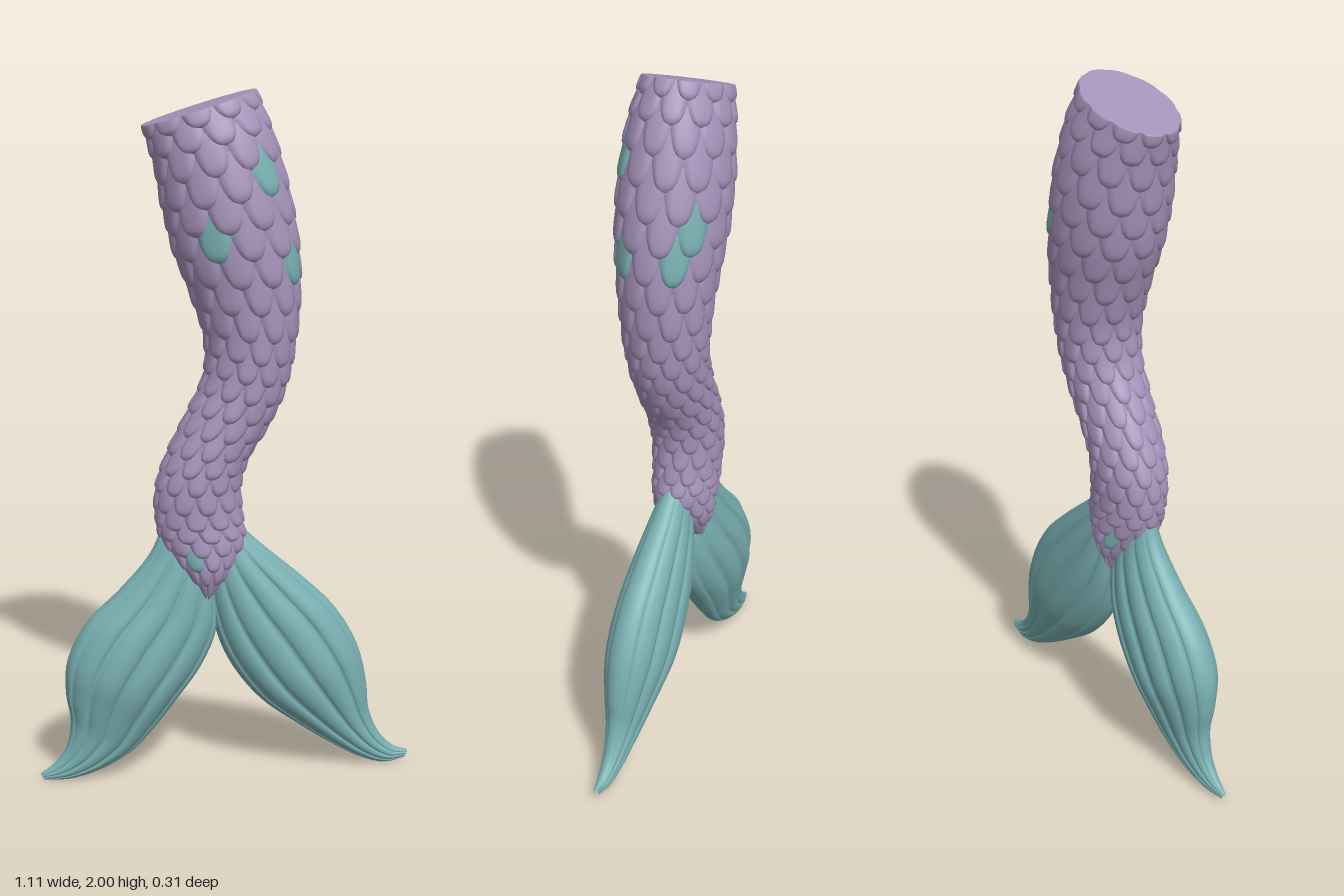
import * as THREE from 'three';
import { mergeGeometries } from 'three/addons/utils/BufferGeometryUtils.js';

// Cross-sections from top to bottom: right edge x, y, left edge x, y, half depth
const BODY = [
  [-.23, 1.905, .078, 2.0, .112], [-.2, 1.81, .125, 1.89, .135], [-.175, 1.68, .17, 1.74, .149],
  [-.145, 1.56, .2, 1.58, .146], [-.095, 1.43, .205, 1.43, .131], [-.06, 1.31, .19, 1.28, .118],
  [-.065, 1.21, .165, 1.17, .109], [-.11, 1.11, .12, 1.07, .104], [-.165, 1.0, .065, .98, .102],
  [-.2, .9, .04, .9, .099], [-.203, .8, .045, .8, .093], [-.185, .73, .052, .73, .09],
  [-.135, .65, .015, .65, .085], [-.07, .565, -.05, .565, .05],
];
const LEFT_FIN = [
  [-.05, .68, .035, .775, .04], [-.05, .57, .11, .705, .062], [-.03, .45, .22, .61, .08],
  [.015, .345, .32, .51, .09], [.1, .235, .39, .39, .09], [.21, .15, .42, .27, .068],
  [.32, .075, .43, .18, .046], [.41, .025, .465, .1, .03], [.48, .005, .51, .055, .02],
  [.54, .015, .553, .04, .008],
];
const RIGHT_FIN = [
  [-.185, .775, -.06, .68, .04], [-.225, .69, -.03, .58, .06], [-.31, .59, -.03, .46, .08],
  [-.41, .49, -.075, .35, .096], [-.465, .38, -.15, .245, .096], [-.472, .28, -.215, .16, .072],
  [-.46, .19, -.28, .09, .05], [-.475, .11, -.375, .035, .035], [-.51, .06, -.465, .01, .022],
  [-.552, .03, -.54, .01, .008],
];

// Spots where the nearest scale is teal
const TEAL_SPOTS = [
  [.13, 1.75, .1], [-.09, 1.55, .12], [.17, 1.52, .09], [.17, 1.52, -.09], [.12, 1.56, -.12],
  [-.13, .67, .08], [-.13, .67, -.08],
].map((p) => new THREE.Vector3(...p));

// Smooth loft through the sections; angle runs from the right edge over the front
function makeLoft(sections) {
  const right = new THREE.CatmullRomCurve3(sections.map((s) => new THREE.Vector3(s[0], s[1], s[4])));
  const left = new THREE.CatmullRomCurve3(sections.map((s) => new THREE.Vector3(s[2], s[3], s[4])));
  return (t, angle, depthScale = 1) => {
    const k = Math.min(1, Math.max(0, t));
    const a = right.getPoint(k), b = left.getPoint(k);
    const depth = a.z;
    a.z = b.z = 0;
    const center = a.clone().lerp(b, 0.5);
    const point = a.lerp(b, (1 - Math.cos(angle)) / 2);
    point.z = depth * Math.sin(angle) * depthScale;
    return { point, center };
  };
}

// Surface grid: rows run down the form, columns run around it
function grid(rows, cols, at, wrap) {
  const positions = [], index = [];
  const stride = wrap ? cols : cols + 1;
  for (let i = 0; i <= rows; i++)
    for (let j = 0; j < stride; j++) positions.push(...at(i / rows, j / cols).toArray());
  for (let i = 0; i < rows; i++)
    for (let j = 0; j < cols; j++) {
      const a = i * stride + j, b = i * stride + ((j + 1) % stride);
      index.push(a, a + stride, b, b, a + stride, b + stride);
    }
  const g = new THREE.BufferGeometry();
  g.setAttribute('position', new THREE.Float32BufferAttribute(positions, 3));
  g.setIndex(index);
  g.computeVertexNormals();
  return g;
}

export function createModel() {
  const purple = new THREE.MeshStandardMaterial({ color: 0xa592b9 });
  purple.name = 'lilac';
  const teal = new THREE.MeshStandardMaterial({ color: 0x79afb1 });
  teal.name = 'teal';

  const group = new THREE.Group();
  group.name = 'mermaidTail';
  const add = (name, geometry, material) => {
    const mesh = new THREE.Mesh(geometry, material);
    mesh.name = name;
    group.add(mesh);
  };

  // Body core, set slightly below the scales
  const TAU = Math.PI * 2;
  const loft = makeLoft(BODY);
  const skin = (t, angle, lift) => {
    const { point, center } = loft(t, angle);
    const out = point.clone().sub(center).normalize();
    return point.addScaledVector(out, lift - 0.008);
  };
  add('body', grid(64, 48, (t, u) => skin(t, u * TAU, 0.002), true), purple);

  // Slanted flat top
  const topCenter = loft(0, 0).center;
  add('topCap', grid(4, 48, (r, u) => topCenter.clone().lerp(skin(0, u * TAU, 0.008), r), true), purple);

  // Overlapping scales in staggered rows, each a domed tongue lifted at its tip
  const ROWS = 23, AROUND = 11;
  const step = 0.97 / ROWS, length = step * 1.8, half = (Math.PI / AROUND) * 1.06;
  const scales = [];
  for (let r = -1; r < ROWS; r++)
    for (let c = 0; c < AROUND; c++) {
      const t0 = r * step, a0 = ((c + (r & 1) * 0.5) / AROUND) * TAU;
      const geometry = grid(9, 8, (v, u) => {
        const q = 1 - (1 - v) ** 1.5;
        const x = u * 2 - 1;
        const width = q < 0.5 ? 1 : Math.sqrt(Math.max(0, 1 - (q * 2 - 1) ** 2));
        const lift = (0.004 + 0.014 * q) * (1 - x ** 6) * (1 - q ** 14);
        return skin(t0 + q * length, a0 + x * half * width, lift);
      }, false);
      scales.push({ geometry, middle: skin(t0 + length * 0.75, a0, 0.008), teal: false });
    }
  for (const spot of TEAL_SPOTS) {
    const nearest = scales.reduce((best, s) =>
      s.middle.distanceTo(spot) < best.middle.distanceTo(spot) ? s : best);
    nearest.teal = true;
  }
  const pick = (flag) => mergeGeometries(scales.filter((s) => s.teal === flag).map((s) => s.geometry));
  add('scales', pick(false), purple);
  add('accentScales', pick(true), teal);

  // Pleated flukes: rounded ribs with narrow grooves that follow the sweep
  const RIBS = 6;
  const fluke = (sections) => {
    const fin = makeLoft(sections);
    return grid(56, 120, (t, u) => {
      const angle = u * TAU;
      const groove = 1 - Math.sqrt(Math.abs(Math.sin(RIBS * angle)));
      const depth = 0.2 * Math.min(1, t * 6);
      return fin(t, angle, 1 - depth * groove).point;
    }, true);
  };
  add('leftFluke', fluke(LEFT_FIN), teal);
  add('rightFluke', fluke(RIGHT_FIN), teal);

  return group;
}
